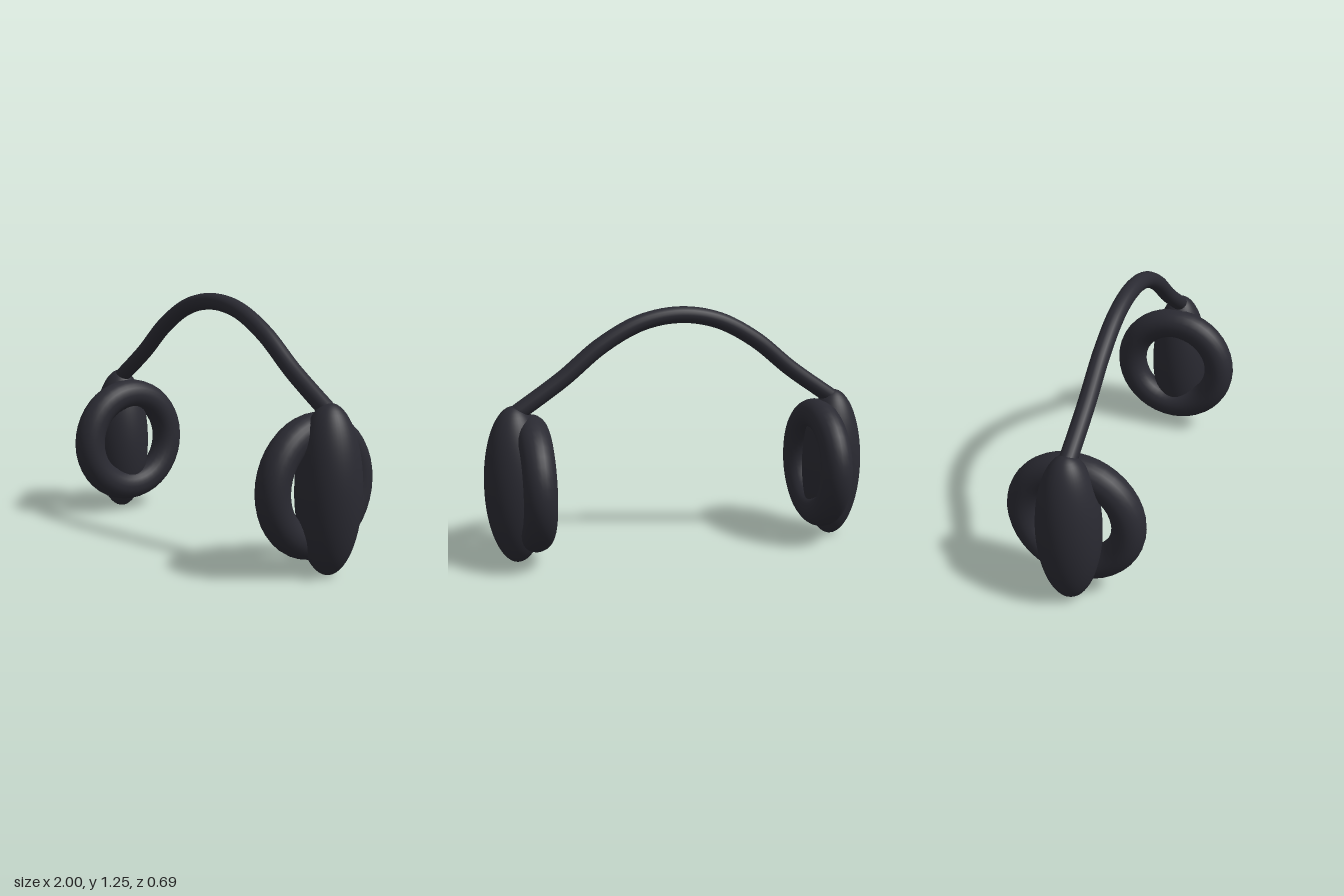
import * as THREE from 'three';

export function createModel() {
  const model = new THREE.Group();
  model.name = 'headphones';
  const charcoal = new THREE.MeshStandardMaterial({ color: 0x2a2a32 });
  charcoal.name = 'charcoal';

  const add = (name, geometry, x, y) => {
    const mesh = new THREE.Mesh(geometry, charcoal);
    mesh.name = name;
    mesh.position.set(x, y, 0);
    model.add(mesh);
    return mesh;
  };

  // Headband: a round tube flaring out towards the ears
  const half = [[0.84, 0.75], [0.6, 0.915], [0.4, 1.075], [0.2, 1.18]];
  const points = [
    ...half.map(([x, y]) => new THREE.Vector3(-x, y, 0)),
    new THREE.Vector3(0, 1.213, 0),
    ...half.map(([x, y]) => new THREE.Vector3(x, y, 0)).reverse(),
  ];
  const band = new THREE.CatmullRomCurve3(points);
  add('headband', new THREE.TubeGeometry(band, 64, 0.042, 20), 0, 0);

  // Flat caps closing the band's ends
  for (const t of [0, 1]) {
    const p = band.getPoint(t);
    const cap = add('headbandEnd', new THREE.CircleGeometry(0.042, 20), p.x, p.y);
    const out = band.getTangent(t).multiplyScalar(t ? 1 : -1);
    cap.quaternion.setFromUnitVectors(new THREE.Vector3(0, 0, 1), out);
  }

  for (const [side, s] of [['left', 1], ['right', -1]]) {
    // Tall ellipsoid shell outside, ring cushion inside
    const shell = add(side + 'EarShell', new THREE.SphereGeometry(1, 40, 32), s * 0.845, 0.397);
    shell.scale.set(0.155, 0.397, 0.155);
    const cushion = add(side + 'EarCushion', new THREE.TorusGeometry(0.262, 0.081, 24, 40), s * 0.76, 0.4);
    cushion.rotation.y = Math.PI / 2;
  }
  return model;
}
